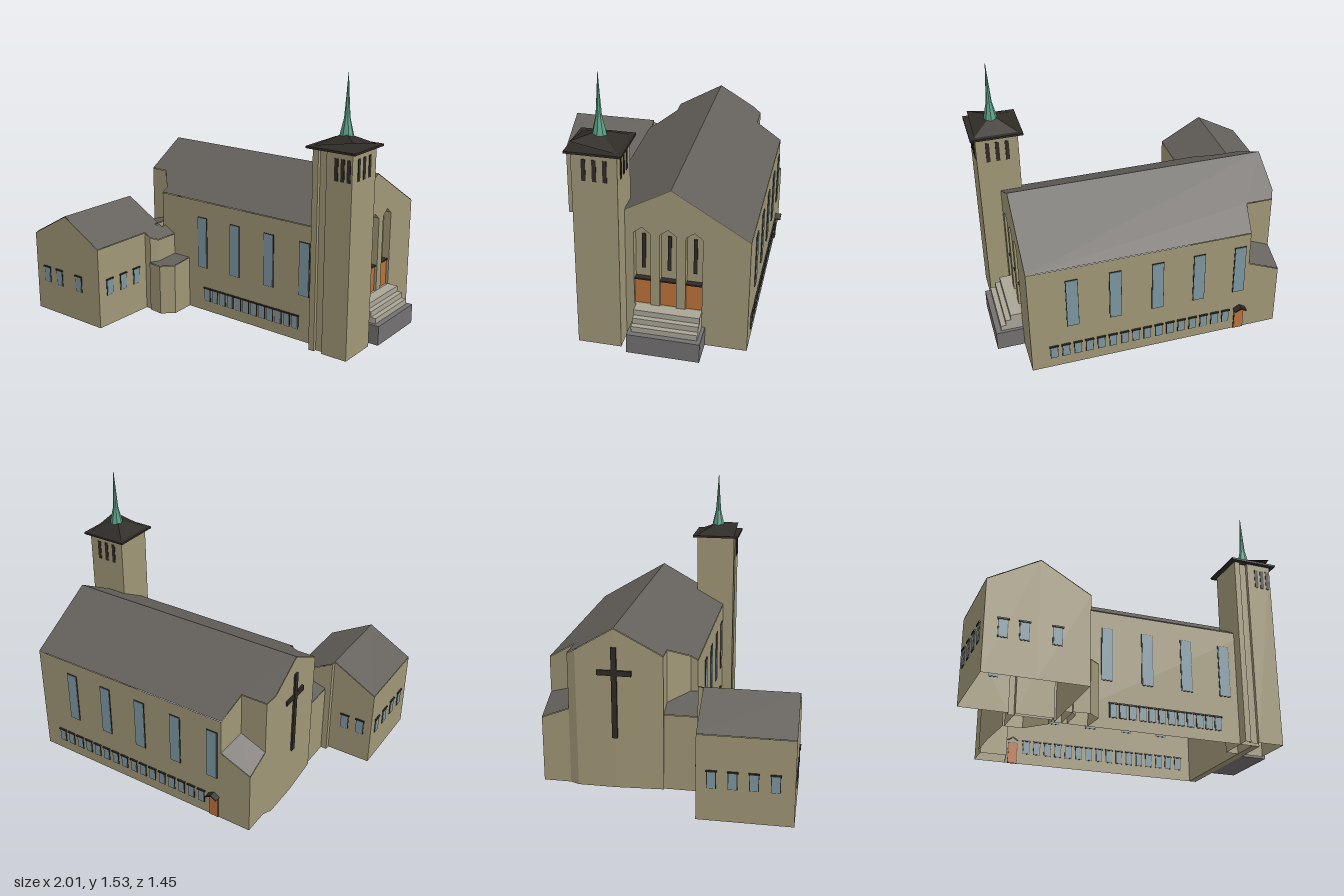
import * as THREE from 'three';

const paint = (color, side = THREE.FrontSide) => new THREE.MeshStandardMaterial({ color, flatShading: true, side });
const WALL = paint(0xa09777, THREE.DoubleSide), ROOF = paint(0x64605b, THREE.DoubleSide);
const DARK = paint(0x2f2b27, THREE.DoubleSide), GLASS = paint(0x7d97a2), DOOR = paint(0xbc7239);
const STONE = paint(0x737070), STEP = paint(0xaaa597), COPPER = paint(0x5a9d85);

function mesh(name, mat, positions) {
  const geo = new THREE.BufferGeometry();
  geo.setAttribute('position', new THREE.Float32BufferAttribute(positions, 3));
  geo.computeVertexNormals();
  const m = new THREE.Mesh(geo, mat);
  m.name = name;
  return m;
}

// Plan outline of [x, z] points, ordered counter-clockwise seen from above
function outline(plan) {
  const pts = plan.map(([x, z]) => new THREE.Vector2(x, z));
  return THREE.ShapeUtils.area(pts) > 0 ? pts.reverse() : pts;
}

// Walls standing on a plan outline, up to a height rule, open below
function walls(name, plan, top) {
  const v = [];
  const pts = outline(plan);
  pts.forEach((p, i) => {
    const q = pts[(i + 1) % pts.length];
    const a = [p.x, 0, p.y], b = [q.x, 0, q.y], c = [q.x, top(q.x, q.y), q.y], d = [p.x, top(p.x, p.y), p.y];
    v.push(...a, ...b, ...c, ...a, ...c, ...d);
  });
  return mesh(name, WALL, v);
}

// Roof sheet over a plan outline
function sheet(name, plan, top) {
  const v = [];
  const pts = outline(plan);
  for (const t of THREE.ShapeUtils.triangulateShape(pts, [])) {
    let [a, b, c] = t.map((i) => pts[i]);
    if ((b.x - a.x) * (c.y - a.y) - (b.y - a.y) * (c.x - a.x) > 0) [b, c] = [c, b];
    for (const p of [a, b, c]) v.push(p.x, top(p.x, p.y) + 0.003, p.y);
  }
  return mesh(name, ROOF, v);
}

function building(group, name, plan, top, roofPlans = [plan]) {
  group.add(walls(name + 'Walls', plan, top));
  for (const r of roofPlans) group.add(sheet(name + 'Roof', r, top));
}

function box(name, mat, w, h, d, x, y, z) {
  const m = new THREE.Mesh(new THREE.BoxGeometry(w, h, d), mat);
  m.name = name;
  m.position.set(x, y, z);
  return m;
}

// Framed opening on a wall; angle turns it from facing +z
function opening(group, name, x, z, angle, y0, y1, width, mat = GLASS, hood = false) {
  const g = new THREE.Group();
  const h = y1 - y0, y = (y0 + y1) / 2;
  g.name = name;
  g.add(box('frame', DARK, width, h, 0.006, 0, y, 0));
  if (mat !== DARK) g.add(box('pane', mat, width - 0.008, h - 0.006, 0.01, 0, y, 0));
  if (hood) g.add(box('hood', DARK, width + 0.008, 0.008, 0.018, 0, y1 + 0.002, 0));
  g.position.set(x, 0, z);
  g.rotation.y = angle;
  group.add(g);
}

export function createModel() {
  const model = new THREE.Group();
  const church = new THREE.Group();
  church.name = 'church';
  church.rotation.y = -0.08;
  model.add(church);
  const S = 0, E = Math.PI / 2, N = Math.PI, W = -Math.PI / 2;

  // Nave and narrower chancel, roofed in two slopes from the ridge
  const RIDGE = -0.235, FRONT = 0.818, INNER = 0.773;
  const naveTop = (x, z) => 0.923 - (z > RIDGE ? 0.56 : 0.6) * Math.abs(z - RIDGE);
  const south = (e) => [[e, RIDGE], [e, 0.185], [-0.43, 0.185], [-0.43, 0.145], [-0.54, 0.03], [-0.65, 0.03], [-0.668, RIDGE]];
  const north = (e) => [[-0.668, RIDGE], [-0.668, -0.45], [-0.645, -0.5], [-0.49, -0.5], [-0.46, -0.655], [e, -0.655], [e, RIDGE]];
  building(church, 'nave', [...south(INNER), ...north(INNER).slice(1, -1)], naveTop, [south(FRONT), north(FRONT)]);

  // Entrance gable with three pointed niches
  const gable = new THREE.Shape([[-0.185, 0], [0.655, 0], [0.655, 0.671], [0.235, 0.923], [-0.185, 0.688]]
    .map(([x, y]) => new THREE.Vector2(x, y)));
  const niches = [-0.08, -0.22, -0.36];
  for (const z of niches) {
    const arch = [[-0.045, 0.21], [-0.045, 0.655], [0, 0.69], [0.045, 0.655], [0.045, 0.21]];
    gable.holes.push(new THREE.Path(arch.map(([x, y]) => new THREE.Vector2(x - z, y))));
  }
  const facade = new THREE.Mesh(new THREE.ExtrudeGeometry(gable, { depth: FRONT - INNER, bevelEnabled: false }), WALL);
  facade.name = 'entranceGable';
  facade.rotation.y = E;
  facade.position.x = INNER;
  church.add(facade);
  for (const z of niches) {
    church.add(box('entranceDoor', DOOR, 0.02, 0.15, 0.088, INNER + 0.02, 0.287, z));
    church.add(box('doorLintel', DARK, 0.035, 0.008, 0.09, INNER + 0.02, 0.366, z));
    opening(church, 'nicheSlit', INNER + 0.003, z, E, 0.42, 0.63, 0.02, DARK);
  }

  // Entrance steps
  church.add(box('stepBase', STONE, 0.157, 0.115, 0.398, 0.896, 0.0575, -0.226));
  for (let i = 0; i < 3; i++) {
    const len = 0.125 - i * 0.03;
    church.add(box('step', STEP, len, 0.033, 0.36, FRONT + len / 2, 0.1315 + i * 0.033, -0.226));
  }

  // Nave windows, tall above and small below
  for (let i = 0; i < 4; i++) opening(church, 'tallWindow', -0.114 + i * 0.243, 0.186, S, 0.275, 0.59, 0.07);
  for (let i = 0; i < 5; i++) opening(church, 'tallWindow', 0.575 - i * 0.244, -0.656, N, 0.275, 0.59, 0.07);
  for (let i = 0; i < 12; i++) opening(church, 'lowWindow', -0.078 + i * 0.058, 0.186, S, 0.065, 0.145, 0.044, GLASS, true);
  for (let i = 0; i < 16; i++) opening(church, 'lowWindow', 0.69 - i * 0.068, -0.656, N, 0.065, 0.145, 0.044, GLASS, true);

  // Side door with a little gabled canopy
  opening(church, 'sideDoor', -0.415, -0.657, N, 0, 0.13, 0.06, DOOR);
  for (const s of [-1, 1]) {
    const c = box('sideDoorCanopy', DARK, 0.042, 0.008, 0.04, -0.415 + s * 0.017, 0.155, -0.672);
    c.rotation.z = -s * 0.55;
    church.add(c);
  }

  // Cross on the chancel end wall
  church.add(box('crossUpright', DARK, 0.015, 0.52, 0.03, -0.671, 0.56, RIDGE));
  church.add(box('crossArm', DARK, 0.015, 0.03, 0.19, -0.669, 0.675, RIDGE));

  // Low sacristy corner and the link to the annex
  building(church, 'sacristy', [[-0.645, -0.655], [-0.46, -0.655], [-0.49, -0.5], [-0.645, -0.5]],
    (x, z) => 0.38 + (x + 0.645) * 0.43 + (z + 0.655) * 0.4);
  building(church, 'link', [[-0.64, 0.03], [-0.54, 0.03], [-0.43, 0.145], [-0.43, 0.25], [-0.64, 0.25]],
    (x) => 0.44 + 0.3 * (x + 0.64));

  // Annex with its own gabled roof, carried on over the vestibule beside the porch
  const A0 = -0.943, A1 = -0.412, AR = -0.676, Z0 = 0.25, Z1 = 0.76;
  const annexTop = (x) => 0.628 - 0.56 * Math.abs(x - AR);
  const west = [[AR, Z1], [A0, Z1], [A0, Z0], [AR, Z0]];
  const east = [[AR, Z0], [AR, 0.22], [A1, 0.22], [A1, Z1], [AR, Z1]];
  building(church, 'annex', [...west, ...east.slice(1, -1)], annexTop, [west, east]);
  building(church, 'vestibule', [[A1, 0.185], [-0.34, 0.185], [-0.34, 0.33], [-0.37, 0.37], [A1, 0.37]], annexTop);
  building(church, 'porch', [[-0.37, 0.185], [-0.37, 0.38], [-0.28, 0.389], [-0.214, 0.328], [-0.223, 0.185]],
    (x, z) => 0.3 + (0.389 - z) * 0.06);
  const small = (x, z, angle) => opening(church, 'annexWindow', x, z, angle, 0.185, 0.28, 0.05, GLASS, true);
  for (const x of [-0.85, -0.745, -0.58]) small(x, Z1, S);
  for (const z of [0.675, 0.565, 0.455]) small(A1, z, E);
  for (const z of [0.33, 0.44, 0.55, 0.66]) small(A0, z, W);
  for (const x of [-0.87, -0.77]) small(x, Z0, N);

  // Bell tower with a shallow groove beside its front corner
  const tower = new THREE.Group();
  tower.name = 'bellTower';
  tower.position.set(0.815, 0, 0.131);
  church.add(tower);
  const H = 0.12;
  tower.add(walls('towerWalls', [[-H, -H], [H, -H], [H, H], [-0.035, H], [-0.035, H - 0.02], [-0.085, H - 0.02],
    [-0.085, H], [-H, H]], () => 1.148));
  for (const d of [-0.055, 0, 0.055]) {
    opening(tower, 'belfryOpening', H, d, E, 0.99, 1.11, 0.022, DARK);
    opening(tower, 'belfryOpening', d, -H, N, 0.99, 1.11, 0.022, DARK);
  }
  for (const x of [0.025, 0.063, 0.1]) opening(tower, 'belfryOpening', x, H, S, 0.99, 1.11, 0.022, DARK);
  tower.add(box('towerEaves', DARK, 0.296, 0.012, 0.296, 0, 1.15, 0));

  // Low cap with one raised corner
  const capGeo = new THREE.ConeGeometry(0.122 * Math.SQRT2, 0.065, 4, 1, true, Math.PI / 4);
  const corners = capGeo.attributes.position;
  for (let i = 0; i < corners.count; i++) {
    if (corners.getX(i) > 0.01 && corners.getZ(i) > 0.01) corners.setY(i, 0.012);
  }
  const cap = new THREE.Mesh(capGeo, DARK);
  cap.name = 'towerCap';
  cap.position.y = 1.1885;
  tower.add(cap);

  // Copper spire with a flared foot
  const profile = [[0.001, 1.18], [0.042, 1.19], [0.036, 1.22], [0.017, 1.3], [0.009, 1.41], [0.001, 1.535]];
  const spire = new THREE.Mesh(new THREE.LatheGeometry(profile.map(([r, y]) => new THREE.Vector2(r, y)), 8), COPPER);
  spire.name = 'spire';
  spire.position.x = 0.008;
  tower.add(spire);

  return model;
}
